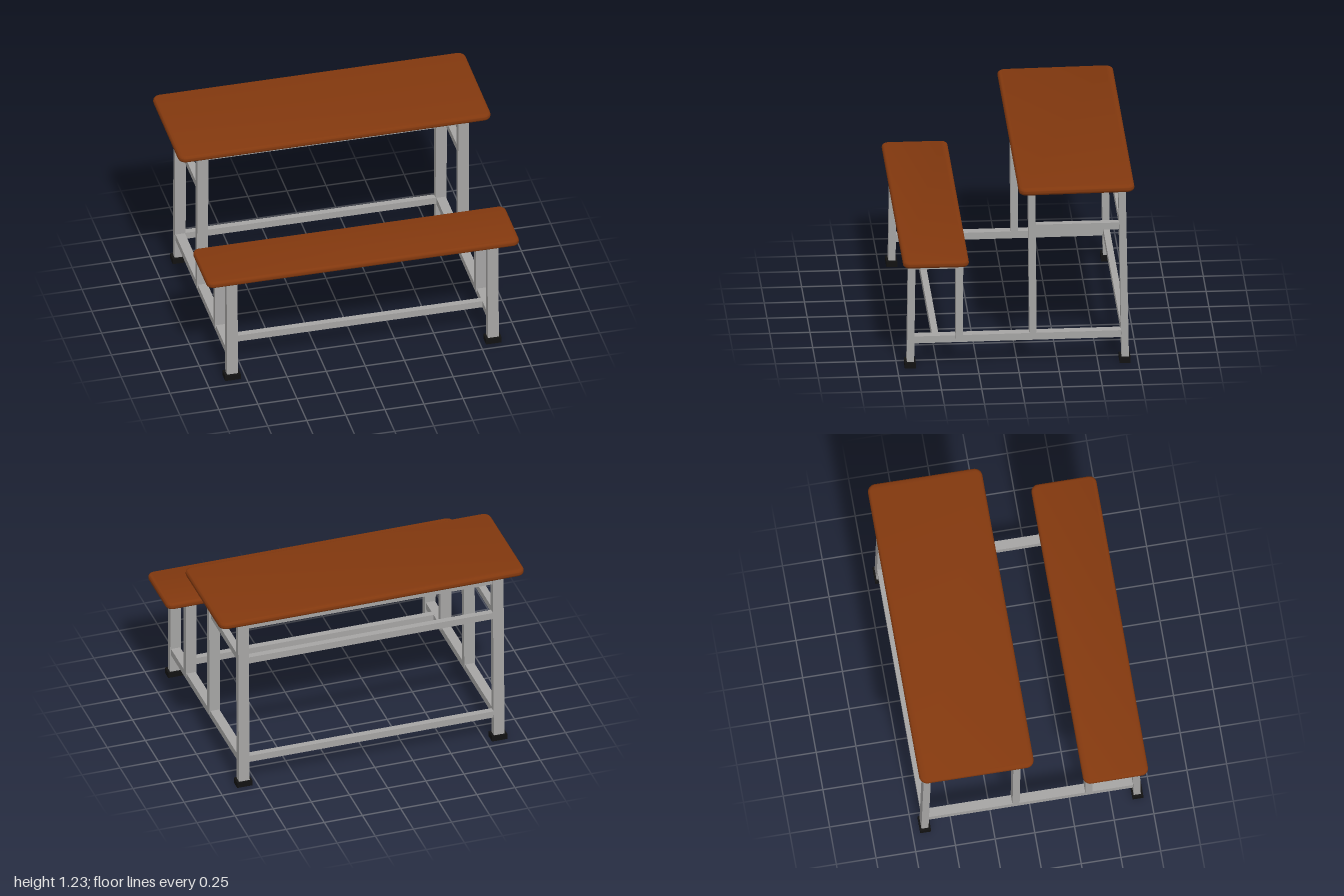
import * as THREE from 'three';
import { toCreasedNormals } from 'three/addons/utils/BufferGeometryUtils.js';

export function createModel() {
  const root = new THREE.Group();
  root.name = 'deskWithBench';

  const wood = new THREE.MeshStandardMaterial({ color: 0x82380e });
  wood.name = 'brown wood';
  const steel = new THREE.MeshStandardMaterial({ color: 0xa5a4a3 });
  steel.name = 'grey steel';
  const rubber = new THREE.MeshStandardMaterial({ color: 0x121212 });
  rubber.name = 'black rubber';

  function add(name, geometry, material, x, y, z) {
    const mesh = new THREE.Mesh(geometry, material);
    mesh.name = name;
    mesh.position.set(x, y, z);
    root.add(mesh);
    return mesh;
  }
  const box = (name, mat, w, h, d, x, y, z) => add(name, new THREE.BoxGeometry(w, h, d), mat, x, y, z);

  // Board with rounded corners and a rounded rim
  function board(name, width, depth, height, corner, y, z) {
    const rim = height * 0.42;
    const a = width / 2 - rim, b = depth / 2 - rim, r = corner - rim;
    const s = new THREE.Shape();
    s.moveTo(-a + r, -b);
    s.lineTo(a - r, -b);
    s.absarc(a - r, -b + r, r, -Math.PI / 2, 0);
    s.lineTo(a, b - r);
    s.absarc(a - r, b - r, r, 0, Math.PI / 2);
    s.lineTo(-a + r, b);
    s.absarc(-a + r, b - r, r, Math.PI / 2, Math.PI);
    s.lineTo(-a, -b + r);
    s.absarc(-a + r, -b + r, r, Math.PI, Math.PI * 1.5);
    const g = new THREE.ExtrudeGeometry(s, {
      depth: height - 2 * rim, bevelEnabled: true, bevelSize: rim,
      bevelThickness: rim, bevelSegments: 4, curveSegments: 6,
    });
    g.center();
    g.rotateX(-Math.PI / 2);
    return add(name, toCreasedNormals(g, 0.7), wood, 0, y, z);
  }

  // Square-tube leg that leans from z0 at the bottom to z1 at the top
  function leg(name, x, y0, y1, z0, z1) {
    const g = new THREE.BoxGeometry(0.07, y1 - y0, 0.045);
    const p = g.attributes.position;
    for (let i = 0; i < p.count; i++) p.setZ(i, p.getZ(i) + (p.getY(i) > 0 ? z1 : z0));
    g.computeVertexNormals();
    add(name, g, steel, x, (y0 + y1) / 2, 0);
  }

  const disc = (name, r, x, y, z) =>
    add(name, new THREE.CylinderGeometry(r, r, 0.008, 20), steel, x, y, z);

  // Wooden boards; the desk rises slightly towards the back
  board('deskTop', 2, 0.72, 0.046, 0.05, 1.21, -0.36).rotation.x = 0.011;
  board('benchSeat', 2, 0.41, 0.044, 0.045, 0.737, 0.515);

  // Two mirrored side frames
  for (const side of [-1, 1]) {
    const x = side * 0.835;
    leg('benchFrontLeg', x, 0.03, 0.717, 0.667, 0.658);
    leg('benchBackLeg', x, 0.19, 0.717, 0.363, 0.361);
    leg('deskFrontLeg', x, 0.19, 1.186, -0.096, -0.088);
    leg('deskBackLeg', x, 0.03, 1.188, -0.67, -0.65);

    for (const z of [0.669, -0.668]) box('foot', rubber, 0.1, 0.037, 0.068, x, 0.0215, z);

    box('lowerSideRail', steel, 0.06, 0.046, 1.36, x, 0.189, -0.005).rotation.x = 0.005;
    box('benchSideRail', steel, 0.045, 0.045, 0.27, x, 0.677, 0.51);
    box('deskMiddleSideRail', steel, 0.045, 0.045, 0.54, x, 0.912, -0.37);
    box('deskUpperSideRail', steel, 0.045, 0.045, 0.54, x, 1.162, -0.37);

    // Mounting plates under the boards
    for (const z of [0.655, 0.362]) disc('benchPlate', 0.045, x, 0.712, z);
    for (const z of [-0.09, -0.65]) box('deskPlate', steel, 0.11, 0.008, 0.065, x, 1.18, z);
  }
  disc('benchMiddlePlate', 0.04, 0, 0.712, 0.37);

  // Cross rails joining the side frames: [name, height, y, z]
  const crossRails = [
    ['lowerFrontRail', 0.045, 0.188, 0.51],
    ['lowerBackRail', 0.045, 0.192, -0.668],
    ['benchRail', 0.036, 0.682, 0.51],
    ['deskMiddleBackRail', 0.045, 0.91, -0.656],
    ['deskUpperFrontRail', 0.045, 1.161, -0.09],
    ['deskUpperBackRail', 0.045, 1.163, -0.65],
  ];
  for (const [name, h, y, z] of crossRails) box(name, steel, 1.64, h, 0.04, 0, y, z);

  return root;
}
